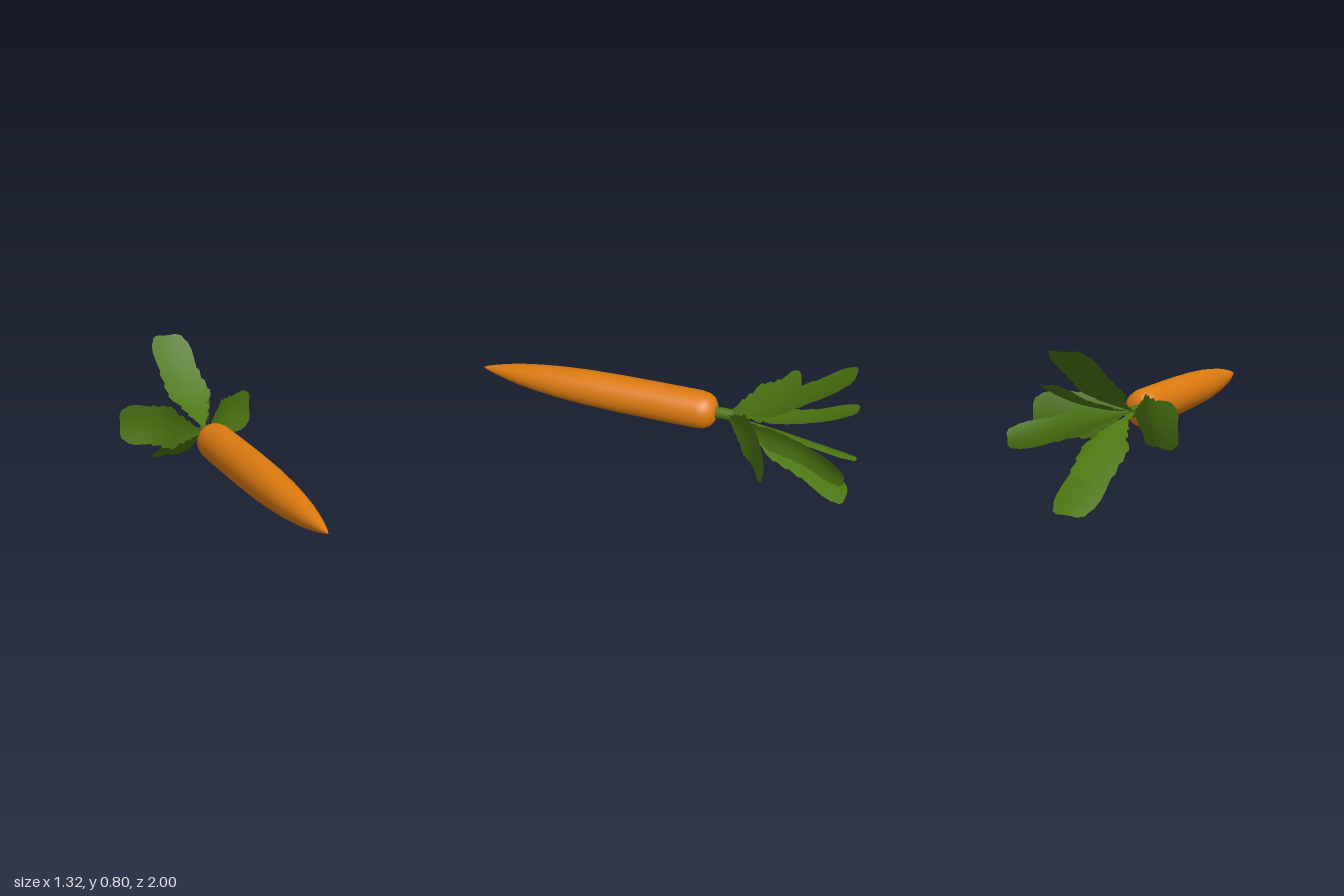
import * as THREE from 'three';

const V = (x, y, z) => new THREE.Vector3(x, y, z);

// Serrated leaf outline: [position along the leaf, fraction of half width]
const OUTLINE = [
  [0, 0.1], [0.1, 0.14], [0.16, 0.3], [0.2, 0.48], [0.22, 0.42], [0.28, 0.66], [0.31, 0.6],
  [0.36, 0.86], [0.42, 1.0], [0.44, 0.92], [0.52, 0.98], [0.55, 0.87], [0.63, 0.94], [0.66, 0.85],
  [0.75, 0.9], [0.84, 0.92], [0.91, 0.85], [0.94, 0.75], [0.98, 0.66], [1, 0.42],
];
const COLUMNS = [-1, -0.5, 0, 0.5, 1];

// Thin blade swept along a curve, gently folded along its midrib
function leafGeometry(points, side, halfWidth) {
  const curve = new THREE.CatmullRomCurve3(points);
  const positions = [], index = [], n = COLUMNS.length;
  OUTLINE.forEach(([t, w], row) => {
    const centre = curve.getPointAt(t), tangent = curve.getTangentAt(t);
    const across = side.clone().addScaledVector(tangent, -side.dot(tangent)).normalize();
    const normal = V(0, 0, 0).crossVectors(tangent, across);
    // keep the fold facing away from the root axis
    const outward = Math.sign(normal.dot(points[3].clone().sub(points[0])
      .addScaledVector(V(-0.55, 0, -0.835), -0.6))) || 1;
    for (const c of COLUMNS) {
      const p = centre.clone().addScaledVector(across, c * w * halfWidth)
        .addScaledVector(normal, outward * 0.014 * w * c * c);
      positions.push(p.x, p.y, p.z);
    }
    if (row === 0) return;
    for (let i = 0; i < n - 1; i++) {
      const a = (row - 1) * n + i, b = a + n;
      index.push(a, a + 1, b, a + 1, b + 1, b);
    }
  });
  const g = new THREE.BufferGeometry();
  g.setAttribute('position', new THREE.Float32BufferAttribute(positions, 3));
  g.setIndex(index);
  g.computeVertexNormals();
  return g;
}

export function createModel() {
  const model = new THREE.Group();
  model.name = 'carrot';
  const orange = new THREE.MeshStandardMaterial({ color: 0xdc7a10 });
  orange.name = 'carrot orange';
  const green = new THREE.MeshStandardMaterial({ color: 0x4c7612, side: THREE.DoubleSide });
  green.name = 'leaf green';

  // Root: lathe profile from tip (y = 0) to crown, laid along its axis
  const crown = V(-0.115, 0.395, -0.178), tip = V(0.66, 0.405, 0.997);
  const length = crown.distanceTo(tip);
  const profile = [
    [0, 1.41], [0.012, 1.385], [0.028, 1.33], [0.045, 1.26], [0.062, 1.17], [0.077, 1.06], [0.09, 0.93],
    [0.1, 0.76], [0.105, 0.55], [0.106, 0.3], [0.106, 0.1], [0.099, 0.055], [0.082, 0.025],
    [0.055, 0.007], [0.025, 0], [0, 0.002],
  ].map(([r, s]) => new THREE.Vector2(r, length * (1 - s / 1.41)));
  const root = new THREE.Mesh(new THREE.LatheGeometry(profile, 32), orange);
  root.name = 'root';
  root.position.copy(tip);
  root.quaternion.setFromUnitVectors(V(0, 1, 0), crown.clone().sub(tip).normalize());
  model.add(root);

  // Short stem joining root and leaves
  const stemCurve = new THREE.LineCurve3(V(-0.1, 0.396, -0.155), V(-0.165, 0.4, -0.26));
  const stem = new THREE.Mesh(new THREE.TubeGeometry(stemCurve, 1, 0.032, 10), green);
  stem.name = 'stem';
  model.add(stem);

  // Leaves: name, path after the shared base, width direction, half width
  const flat = V(0.835, 0, -0.55), upright = V(0, 1, 0);
  const leaves = [
    ['upperLeaf', [V(-0.25, 0.49, -0.42), V(-0.375, 0.62, -0.6), V(-0.5, 0.8, -0.81)], flat, 0.135],
    ['lowerLeaf', [V(-0.26, 0.31, -0.42), V(-0.39, 0.18, -0.6), V(-0.52, 0.012, -0.81)], flat, 0.135],
    ['rightLeaf', [V(-0.27, 0.4, -0.255), V(-0.45, 0.4, -0.3), V(-0.663, 0.405, -0.27)], upright, 0.135],
    ['leftLeaf', [V(-0.12, 0.4, -0.36), V(-0.08, 0.4, -0.52), V(0.028, 0.405, -0.722)], upright, 0.135],
    ['backLeaf', [V(-0.185, 0.39, -0.5), V(-0.255, 0.375, -0.74), V(-0.273, 0.36, -0.998)], upright, 0.075],
    ['upperInnerLeaf', [V(-0.25, 0.45, -0.45), V(-0.36, 0.53, -0.68), V(-0.465, 0.64, -0.88)], flat, 0.075],
    ['lowerInnerLeaf', [V(-0.28, 0.35, -0.4), V(-0.45, 0.28, -0.6), V(-0.605, 0.215, -0.78)], V(0.75, 0.35, -0.5), 0.068],
  ];
  for (const [name, path, side, halfWidth] of leaves) {
    const leaf = new THREE.Mesh(leafGeometry([V(-0.14, 0.4, -0.22), ...path], side, halfWidth), green);
    leaf.name = name;
    model.add(leaf);
  }
  return model;
}
